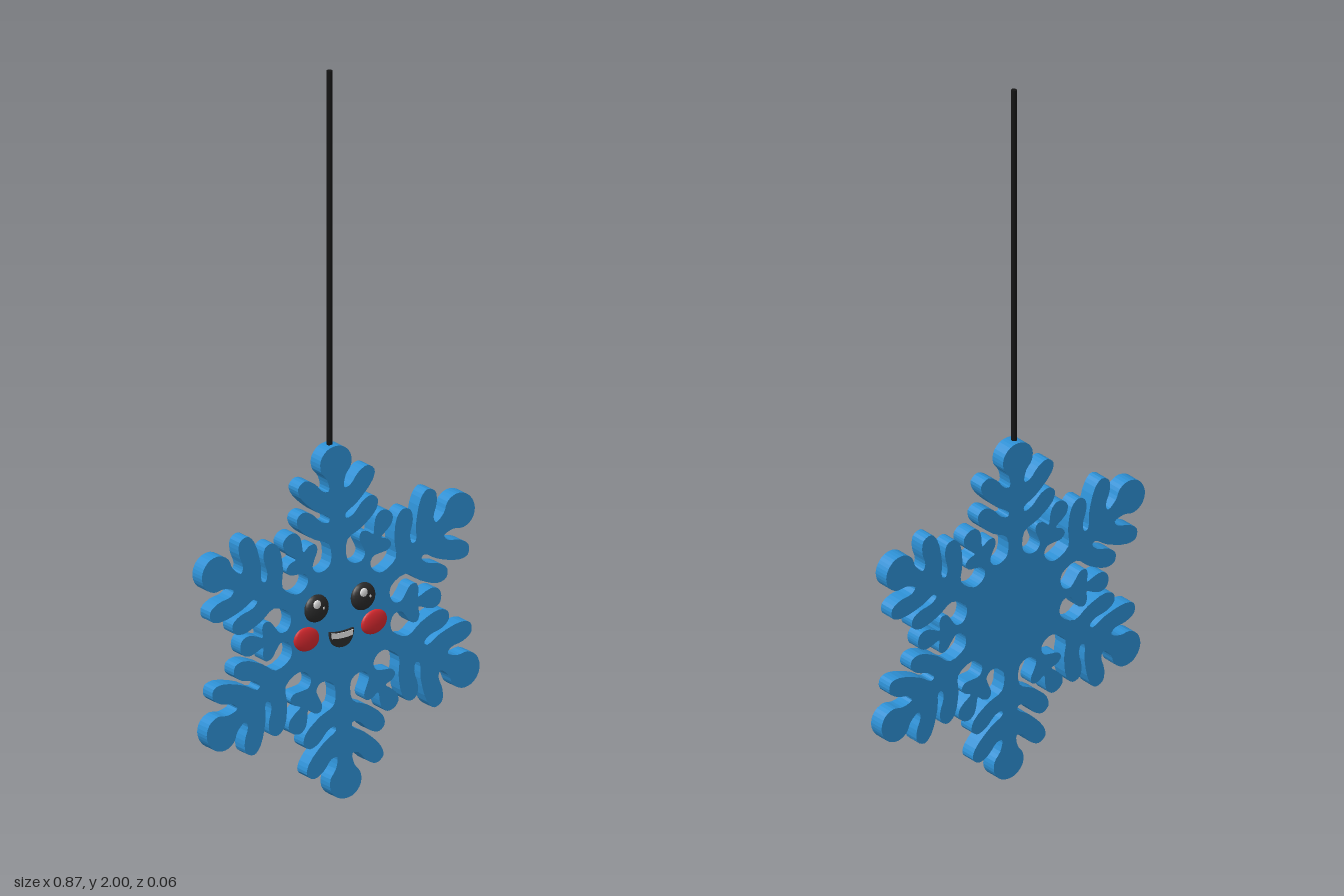
import * as THREE from 'three';

const material = (name, color) => {
  const m = new THREE.MeshStandardMaterial({ color });
  m.name = name;
  return m;
};

// Half outlines from tip to core: [distance along the arm, sideways offset]
const MAIN_ARM = [
  [0.487, 0], [0.48, 0.027], [0.456, 0.047], [0.425, 0.047], [0.4, 0.029], [0.368, 0.024], [0.37, 0.042],
  [0.398, 0.068], [0.412, 0.098], [0.396, 0.12], [0.368, 0.113], [0.318, 0.063], [0.294, 0.025],
  [0.282, 0.028], [0.288, 0.05], [0.317, 0.08], [0.327, 0.108], [0.312, 0.127], [0.284, 0.121],
  [0.245, 0.074], [0.222, 0.029], [0.17, 0.026],
];
const SMALL_ARM = [
  [0.316, 0], [0.309, 0.02], [0.29, 0.028], [0.268, 0.023], [0.244, 0.014], [0.246, 0.036],
  [0.238, 0.053], [0.22, 0.051], [0.203, 0.029], [0.189, 0.014], [0.168, 0.016],
];

function flakeShape(tilt) {
  const points = [];
  const add = (angle, u, v) => points.push(new THREE.Vector3(
    u * Math.cos(angle) - v * Math.sin(angle), u * Math.sin(angle) + v * Math.cos(angle), 0));
  const step = Math.PI / 6;
  for (let i = 0; i < 12; i++) {
    const angle = Math.PI / 2 + tilt + i * step;
    const half = i % 2 ? SMALL_ARM : MAIN_ARM;
    for (const [u, v] of half.slice(1).reverse()) add(angle, u, -v);
    for (const [u, v] of half) add(angle, u, v);
    add(angle + step * (i % 2 ? 0.44 : 0.56), 0.16, 0); // core edge between arms
  }
  const curve = new THREE.CatmullRomCurve3(points, true, 'centripetal');
  const outline = curve.getPoints(points.length * 3).slice(0, -1);
  return new THREE.Shape(outline.map((p) => new THREE.Vector2(p.x, p.y)));
}

export function createModel() {
  const blue = material('flake blue', 0x2d8fd3);
  const black = material('face black', 0x2a2a2a);
  const cord = material('cord black', 0x141414);
  const red = material('cheek red', 0xd8292f);
  const white = material('highlight white', 0xe4e4e4);

  const model = new THREE.Group();
  model.name = 'snowflakeOrnament';
  const part = (name, geometry, mat, x, y, z, parent = model) => {
    const mesh = new THREE.Mesh(geometry, mat);
    mesh.name = name;
    mesh.position.set(x, y, z);
    parent.add(mesh);
    return mesh;
  };

  // Flat body, slightly tilted
  const body = new THREE.Group();
  body.name = 'snowflake';
  body.position.set(0, 0.487, -0.0105);
  body.rotation.y = 0.005;
  model.add(body);
  part('flakeBody', new THREE.ExtrudeGeometry(flakeShape(0.035), { depth: 0.044, bevelEnabled: false }),
    blue, 0, 0, -0.022, body);

  // Hanging cord
  part('cord', new THREE.CylinderGeometry(0.008, 0.008, 1.05, 8), cord, -0.02, 1.475, -0.0105);

  // Face
  const face = new THREE.Group();
  face.name = 'face';
  face.position.set(0, 0.487, 0.011);
  model.add(face);
  const ball = new THREE.SphereGeometry(1, 20, 14);
  const dome = (name, mat, x, y, z, sx, sy, sz, turn = 0) => {
    const mesh = part(name, ball, mat, x, y, z, face);
    mesh.scale.set(sx, sy, sz);
    mesh.rotation.z = turn;
  };
  for (const [side, x, y] of [['right', -0.077, 0.053], ['left', 0.069, 0.058]]) {
    dome(side + 'Eye', black, x, y, 0, 0.038, 0.038, 0.018);
    dome(side + 'EyeHighlight', white, x - 0.006, y + 0.014, 0.014, 0.012, 0.013, 0.005);
    dome(side + 'EyeGlint', white, x + 0.012, y + 0.002, 0.0155, 0.005, 0.005, 0.002);
  }
  dome('rightCheek', red, -0.108, -0.026, 0, 0.041, 0.033, 0.011, -0.15);
  dome('leftCheek', red, 0.104, -0.019, 0, 0.041, 0.033, 0.011, 0.2);

  // Half-round mouth with a band of teeth
  const mouth = new THREE.Shape();
  mouth.moveTo(-0.038, 0);
  mouth.quadraticCurveTo(-0.036, -0.046, 0, -0.046);
  mouth.quadraticCurveTo(0.036, -0.046, 0.038, 0);
  mouth.quadraticCurveTo(0, -0.008, -0.038, 0);
  part('mouth', new THREE.ExtrudeGeometry(mouth, { depth: 0.009, bevelEnabled: false, curveSegments: 10 }),
    black, -0.001, -0.02, -0.001, face);
  const teeth = new THREE.Shape();
  teeth.moveTo(-0.034, -0.003);
  teeth.quadraticCurveTo(0, -0.009, 0.034, -0.003);
  teeth.lineTo(0.032, -0.018);
  teeth.quadraticCurveTo(0, -0.024, -0.032, -0.018);
  part('teeth', new THREE.ExtrudeGeometry(teeth, { depth: 0.003, bevelEnabled: false, curveSegments: 8 }),
    white, -0.001, -0.02, 0.007, face);

  return model;
}
